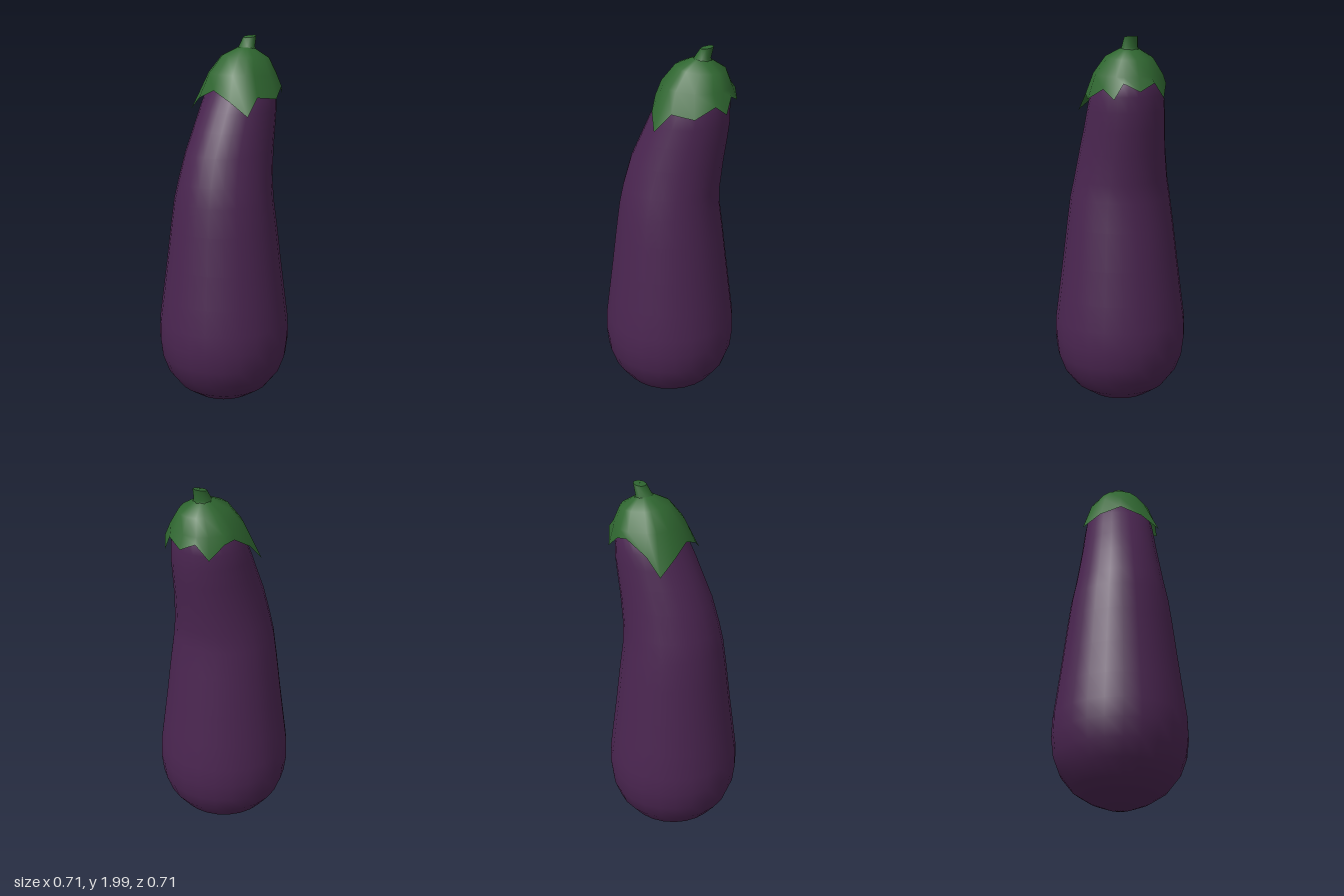
import * as THREE from 'three';

const purple = new THREE.MeshStandardMaterial({ color: 0x4a2550 });
purple.name = 'aubergine purple';
const green = new THREE.MeshStandardMaterial({ color: 0x2f6630, side: THREE.DoubleSide });
green.name = 'leaf green';

// Skins a stack of closed rings (bottom to top, each an array of [x, y, z])
function loft(name, rings, material) {
  const n = rings[0].length;
  const index = [];
  for (let i = 0; i < rings.length - 1; i++) {
    for (let j = 0; j < n; j++) {
      const k = (j + 1) % n;
      const a = i * n + j, b = a + n, c = (i + 1) * n + k, d = i * n + k;
      index.push(a, b, c, a, c, d);
    }
  }
  const geometry = new THREE.BufferGeometry();
  geometry.setAttribute('position', new THREE.Float32BufferAttribute(rings.flat(2), 3));
  geometry.setIndex(index);
  geometry.computeVertexNormals();
  const mesh = new THREE.Mesh(geometry, material);
  mesh.name = name;
  return mesh;
}

// Elliptical ring; tilt lowers the +x side
const ring = (angles, [y, cx, rx, rz, tilt = 0]) => angles.map((a) => [
  cx + rx * Math.cos(a), y - tilt * Math.cos(a), rz * Math.sin(a),
]);

const evenAngles = (n) => Array.from({ length: n }, (_, i) => (i / n) * Math.PI * 2);

export function createModel() {
  const group = new THREE.Group();
  group.name = 'aubergine';

  // Fruit: straight bulb below, neck leaning to +x above [y, centre x, rx, rz]
  const bodySections = [
    [0.005, 0, 0.002, 0.002], [0.02, 0, 0.07, 0.07], [0.055, 0, 0.16, 0.16],
    [0.11, 0, 0.245, 0.245], [0.19, 0, 0.308, 0.308], [0.28, 0, 0.342, 0.342],
    [0.38, 0, 0.354, 0.354], [0.48, 0, 0.351, 0.351], [0.62, 0, 0.333, 0.333],
    [0.8, 0, 0.31, 0.31], [1.0, 0, 0.286, 0.286], [1.15, 0, 0.266, 0.266],
    [1.25, 0.011, 0.256, 0.247], [1.4, 0.04, 0.243, 0.225], [1.52, 0.075, 0.225, 0.21],
    [1.62, 0.103, 0.209, 0.2], [1.7, 0.123, 0.188, 0.19], [1.77, 0.137, 0.168, 0.165],
    [1.83, 0.145, 0.12, 0.12], [1.86, 0.15, 0.002, 0.002],
  ];
  const around = evenAngles(24);
  group.add(loft('fruit', bodySections.map((s) => ring(around, s)), purple));

  // Leafy cap: jagged rim of points and notches, closing up to the stem
  const rim = [
    [-0.075, 1.73, 0], [-0.07, 1.68, -0.115], [-0.04, 1.61, -0.21], [0.045, 1.7, -0.197],
    [0.16, 1.77, -0.19], [0.22, 1.76, -0.177], [0.295, 1.69, -0.14], [0.325, 1.77, -0.08],
    [0.345, 1.73, 0], [0.325, 1.77, 0.08], [0.31, 1.69, 0.125], [0.26, 1.74, 0.167],
    [0.165, 1.685, 0.22], [0.045, 1.7, 0.2], [-0.04, 1.61, 0.215], [-0.07, 1.68, 0.115],
  ];
  const rimAngles = rim.map(([x, , z]) => Math.atan2(z, x - 0.14));
  const capSections = [
    [1.805, 0.138, 0.182, 0.18, 0.005], [1.89, 0.158, 0.13, 0.122, 0.01],
    [1.935, 0.165, 0.045, 0.045, 0.005],
  ];
  group.add(loft('leafyCap', [rim, ...capSections.map((s) => ring(rimAngles, s))], green));

  // Stem: short flared stub leaning to +x
  const stemAngles = evenAngles(8);
  const stemSections = [
    [1.915, 0.16, 0.06, 0.058], [1.94, 0.167, 0.042, 0.044], [1.992, 0.188, 0.034, 0.036, -0.006],
  ];
  group.add(loft('stem', stemSections.map((s) => ring(stemAngles, s)), green));
  const stemTop = [[1.992, 0.188, 0.034, 0.036, -0.006], [1.994, 0.188, 0.001, 0.001]];
  group.add(loft('stemTop', stemTop.map((s) => ring(stemAngles, s)), green));

  return group;
}
